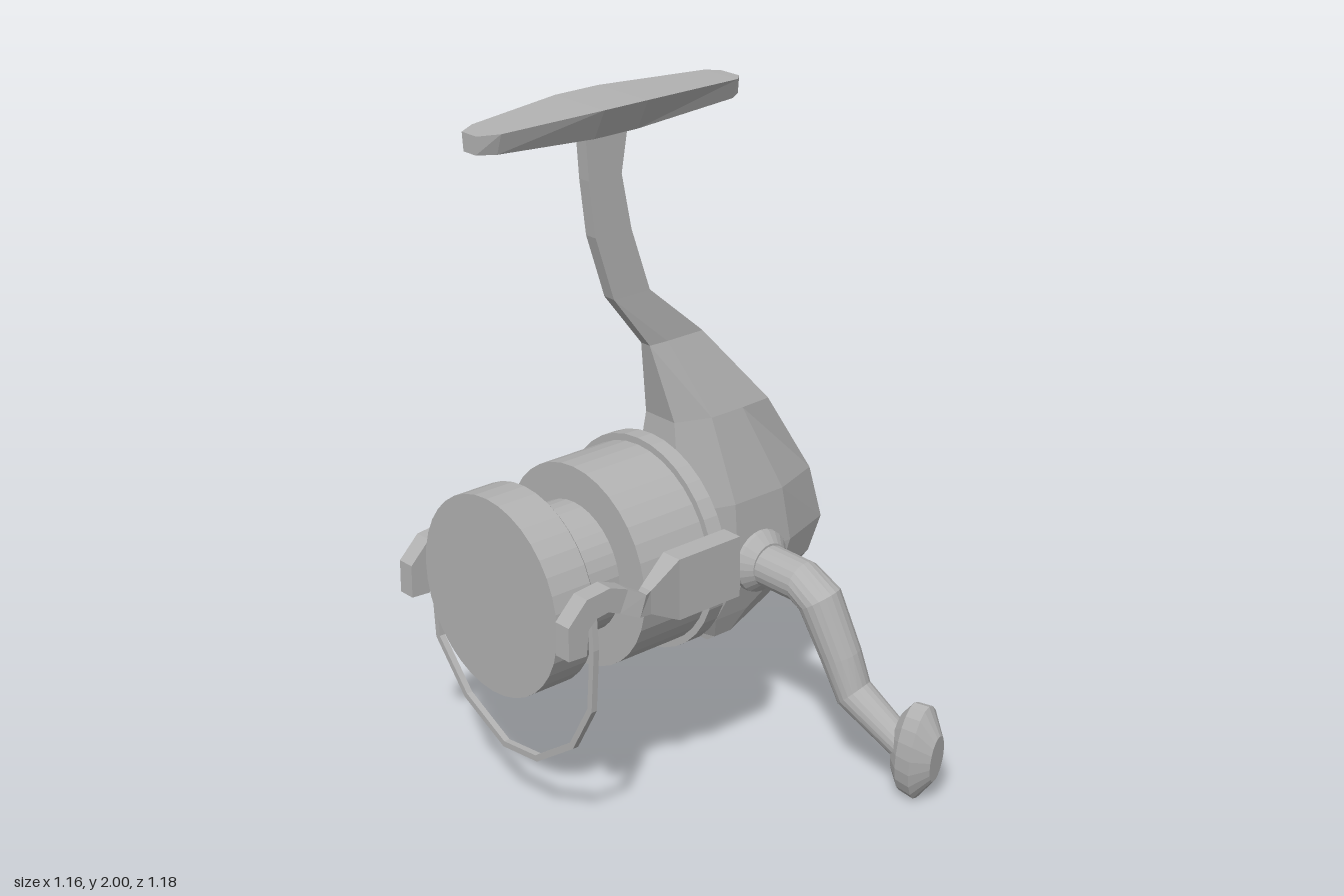
import * as THREE from 'three';

const AXIS_X = -0.195, AXIS_Y = 0.695;
const V = (x, y, z) => new THREE.Vector3(x, y, z);

// Closed solid through rings of equal point count, flat capped, always facing outward
function loft(rings) {
  const n = rings[0].length, tris = [];
  for (let i = 0; i < rings.length - 1; i++) {
    for (let j = 0; j < n; j++) {
      const k = (j + 1) % n, a = rings[i], b = rings[i + 1];
      tris.push([a[j], a[k], b[k]], [a[j], b[k], b[j]]);
    }
  }
  const first = rings[0], last = rings[rings.length - 1];
  for (let j = 1; j < n - 1; j++) {
    tris.push([first[0], first[j + 1], first[j]], [last[0], last[j], last[j + 1]]);
  }
  let volume = 0;
  for (const [a, b, c] of tris) volume += a.dot(b.clone().cross(c));
  if (volume < 0) tris.forEach((t) => t.reverse());
  const geometry = new THREE.BufferGeometry().setFromPoints(tris.flat());
  geometry.computeVertexNormals();
  return geometry;
}

// Round or square bar along a bent path lying roughly in the xy plane
function sweep(path, radii, sides) {
  return loft(path.map((p, i) => {
    const t = path[Math.min(i + 1, path.length - 1)].clone().sub(path[Math.max(i - 1, 0)]).normalize();
    const u = V(0, 0, 1).cross(t).normalize();
    const w = t.clone().cross(u);
    return Array.from({ length: sides }, (_, j) => {
      const a = ((j + 0.5) / sides) * Math.PI * 2;
      return p.clone().addScaledVector(u, Math.cos(a) * radii[i]).addScaledVector(w, Math.sin(a) * radii[i]);
    });
  }));
}

export function createModel() {
  const model = new THREE.Group();
  model.name = 'fishingReel';
  const grey = new THREE.MeshStandardMaterial({ color: 0xb2b2b2, flatShading: true });
  grey.name = 'plain grey';

  const add = (name, geometry) => {
    const mesh = new THREE.Mesh(geometry, grey);
    mesh.name = name;
    model.add(mesh);
    return mesh;
  };
  const lathe = (points, sides) =>
    new THREE.LatheGeometry(points.map(([r, y]) => new THREE.Vector2(r, y)), sides);

  // Mounting foot: z, top y, bottom y, top half width, bottom half width
  const foot = [
    [-0.31, 1.985, 1.935, 0.035, 0.03],
    [-0.277, 1.987, 1.93, 0.066, 0.045],
    [0.07, 2.0, 1.915, 0.1, 0.058],
    [0.217, 2.0, 1.915, 0.1, 0.058],
    [0.52, 1.987, 1.93, 0.06, 0.042],
    [0.575, 1.985, 1.935, 0.03, 0.025],
  ];
  add('foot', loft(foot.map(([z, top, bottom, a, b]) => [
    V(AXIS_X - a, top, z), V(AXIS_X + a, top, z), V(AXIS_X + b, bottom, z), V(AXIS_X - b, bottom, z),
  ])));

  // Stem flowing into the gear housing: y, front z, back z, half widths front, middle, back
  const body = [
    [1.93, 0.217, 0.07, 0.02, 0.02, 0.02],
    [1.79, 0.207, 0.095, 0.02, 0.02, 0.02],
    [1.63, 0.187, 0.063, 0.02, 0.02, 0.02],
    [1.444, 0.127, 0, 0.02, 0.02, 0.02],
    [1.28, 0, -0.19, 0.018, 0.022, 0.022],
    [1.05, -0.052, -0.375, 0.06, 0.1, 0.095],
    [0.79, -0.035, -0.54, 0.1, 0.155, 0.1],
    [0.62, -0.02, -0.59, 0.1, 0.16, 0.1],
    [0.524, -0.02, -0.54, 0.1, 0.155, 0.1],
    [0.43, -0.045, -0.375, 0.1, 0.125, 0.1],
    [0.363, -0.14, -0.23, 0.1, 0.1, 0.1],
  ];
  add('body', loft(body.map(([y, zf, zb, f, m, b]) => {
    const z1 = zf + (zb - zf) * 0.32, z2 = zf + (zb - zf) * 0.68;
    const side = [[f, zf], [m, z1], [m, z2], [b, zb]];
    return [
      ...side.map(([x, z]) => V(AXIS_X + x, y, z)),
      ...side.reverse().map(([x, z]) => V(AXIS_X - x, y, z)),
    ];
  })));

  // Rotor and spool turned around the z axis
  const turned = {
    rotor: [[0, -0.02], [0.315, -0.02], [0.315, 0.03], [0.295, 0.03], [0.295, 0.262], [0, 0.262]],
    spool: [[0, 0.2], [0.19, 0.2], [0.19, 0.425], [0.28, 0.425], [0.288, 0.432], [0.288, 0.56], [0, 0.56]],
  };
  for (const [name, points] of Object.entries(turned)) {
    const mesh = add(name, lathe(points, 36).rotateX(Math.PI / 2));
    mesh.position.set(AXIS_X, AXIS_Y, 0);
  }

  // Hooked bail arms: z, y, half height, inner and outer distance from the axis
  const arm = [
    [-0.02, 0.73, 0.09, 0.3, 0.365],
    [0.2, 0.73, 0.09, 0.3, 0.365],
    [0.31, 0.733, 0.034, 0.335, 0.375],
    [0.345, 0.737, 0.032, 0.352, 0.385],
    [0.4, 0.765, 0.034, 0.318, 0.372],
    [0.45, 0.785, 0.034, 0.318, 0.372],
    [0.51, 0.778, 0.036, 0.318, 0.372],
    [0.555, 0.735, 0.036, 0.318, 0.372],
    [0.56, 0.65, 0.03, 0.318, 0.372],
  ];
  for (const side of [1, -1]) {
    const drop = side > 0 ? 0 : -0.068;
    const label = side > 0 ? 'left' : 'right';
    add(label + 'BailArm', loft(arm.map(([z, y, h, inner, outer], i) => {
      const a = arm[Math.max(i - 1, 0)], b = arm[Math.min(i + 1, arm.length - 1)];
      const len = Math.hypot(b[0] - a[0], b[1] - a[1]);
      // keep the broad rear part upright, let the hook follow its curve
      const nz = i < 3 ? 0 : -(b[1] - a[1]) / len, ny = i < 3 ? 1 : (b[0] - a[0]) / len;
      const at = (d, s) => V(AXIS_X + side * d, y + drop + s * h * ny, z + s * h * nz);
      return [at(inner, 1), at(outer, 1), at(outer, -1), at(inner, -1)];
    })));
    const pin = add(label + 'BailPin', new THREE.CylinderGeometry(0.009, 0.009, 0.08, 8).rotateZ(Math.PI / 2));
    pin.position.set(AXIS_X + side * 0.315, 0.75 + drop, 0.49);
  }

  // Bail wire hanging below the spool
  const wire = [
    [-0.535, 0.69], [-0.533, 0.585], [-0.522, 0.43], [-0.4, 0.29], [-0.23, 0.205],
    [-0.085, 0.22], [0.07, 0.325], [0.15, 0.465], [0.163, 0.65], [0.155, 0.76],
  ].map(([x, y]) => V(x, y, 0.493));
  add('bailWire', sweep(wire, wire.map(() => 0.013), 4));

  // Crank: flange, bent arm and oval knob
  const flange = add('crankFlange',
    lathe([[0, -0.06], [0.085, -0.06], [0.095, 0], [0.093, 0.015], [0.064, 0.045], [0, 0.045]], 24).rotateZ(-Math.PI / 2));
  flange.position.set(-0.04, 0.59, -0.29);

  const crank = [
    V(-0.03, 0.585, -0.292), V(0.14, 0.585, -0.292), V(0.2, 0.55, -0.3),
    V(0.265, 0.39, -0.325), V(0.305, 0.28, -0.34), V(0.47, 0.165, -0.375),
  ];
  add('crankArm', sweep(crank, [0.063, 0.063, 0.066, 0.06, 0.056, 0.044], 20));

  const knob = add('crankKnob',
    lathe([[0, -0.062], [0.1, -0.06], [0.145, -0.03], [0.152, 0.018], [0.075, 0.065], [0, 0.065]], 20)
      .rotateZ(-Math.PI / 2).scale(1, 1, 0.46));
  knob.position.set(0.508, 0.158, -0.393);
  knob.rotation.set(0, 0.2, -0.1);

  return model;
}
